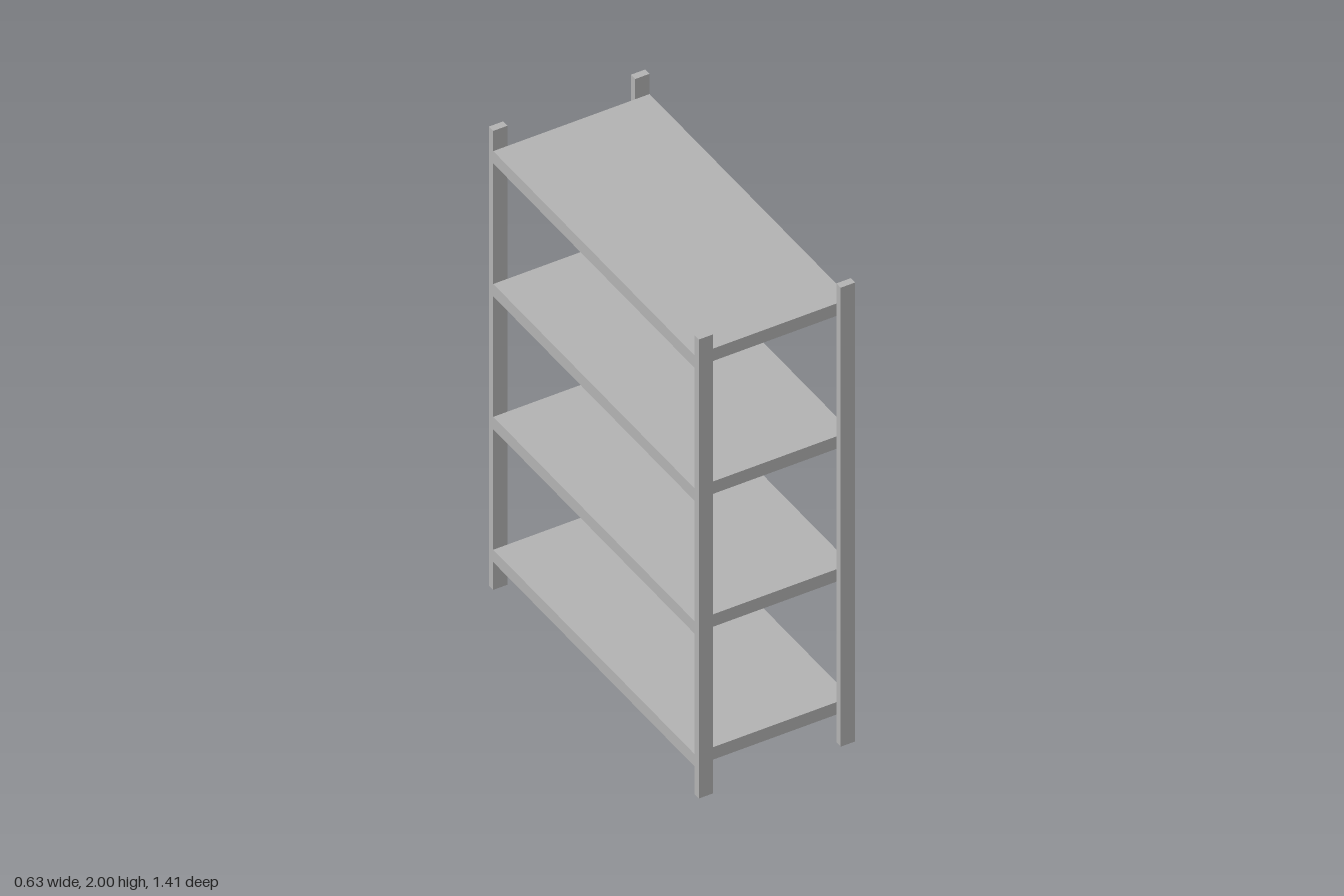
import * as THREE from 'three';

export function createModel() {
  const model = new THREE.Group();
  model.name = 'shelvingUnit';
  const metal = new THREE.MeshStandardMaterial({ color: 0xb2b2b2 });
  metal.name = 'grey metal';

  const addBox = (name, size, position) => {
    const mesh = new THREE.Mesh(new THREE.BoxGeometry(...size), metal);
    mesh.name = name;
    mesh.position.set(...position);
    model.add(mesh);
  };

  // Four flat corner posts, outside the shelf ends
  const postWidth = 0.058, postDepth = 0.029;
  const halfWidth = 0.315, halfDepth = 0.705;
  for (const [zName, sz] of [['front', 1], ['back', -1]]) {
    for (const [xName, sx] of [['Left', 1], ['Right', -1]]) {
      addBox(`${zName}${xName}Post`, [postWidth, 2, postDepth],
        [sx * (halfWidth - postWidth / 2), 1, sz * (halfDepth - postDepth / 2)]);
    }
  }

  // Four evenly spaced shelves between the posts
  const shelfDepth = 2 * (halfDepth - postDepth);
  for (let i = 0; i < 4; i++) {
    addBox(`shelf${i + 1}`, [2 * halfWidth, 0.054, shelfDepth], [0, 0.148 + i * 0.579, 0]);
  }
  return model;
}
